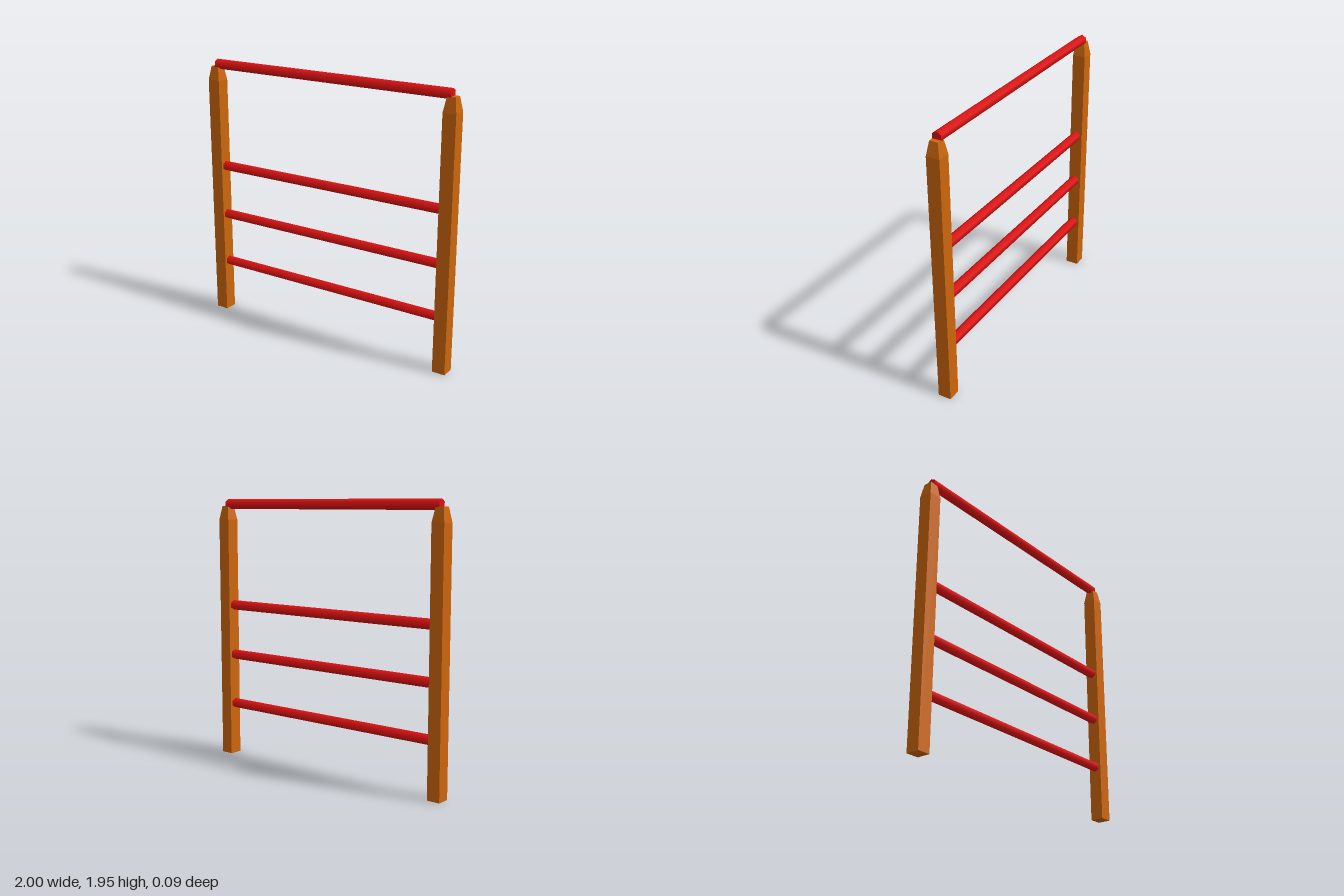
import * as THREE from 'three';

const POST_HEIGHT = 1.9, POST_WIDTH = 0.095, TAPER_START = 1.8, TIP_SCALE = 0.63;
const POST_X = 0.9525, BAR_RADIUS = 0.036;

// Square post whose top narrows to a blunt tip
function postGeometry() {
  const geo = new THREE.BoxGeometry(POST_WIDTH, POST_HEIGHT, POST_WIDTH, 1, 2, 1);
  geo.translate(0, POST_HEIGHT / 2, 0);
  const p = geo.attributes.position;
  for (let i = 0; i < p.count; i++) {
    const y = p.getY(i);
    if (y > POST_HEIGHT - 0.01) {
      p.setX(i, p.getX(i) * TIP_SCALE);
      p.setZ(i, p.getZ(i) * TIP_SCALE);
    } else if (y > 0.01) {
      p.setY(i, TAPER_START);
    }
  }
  geo.computeVertexNormals();
  return geo;
}

// Six-sided bar along x with an edge pointing up
function barGeometry() {
  const geo = new THREE.CylinderGeometry(BAR_RADIUS, BAR_RADIUS, 1.9, 6, 1, false, Math.PI / 6);
  return geo.rotateZ(Math.PI / 2);
}

export function createModel() {
  const model = new THREE.Group();
  model.name = 'ladderFence';
  const wood = new THREE.MeshStandardMaterial({ color: 0xcc660d, flatShading: true });
  const red = new THREE.MeshStandardMaterial({ color: 0xdd1111 });

  // Upright posts
  const post = postGeometry();
  for (const [name, side] of [['leftPost', 1], ['rightPost', -1]]) {
    const mesh = new THREE.Mesh(post, wood);
    mesh.name = name;
    mesh.position.x = side * POST_X;
    model.add(mesh);
  }

  // Three rungs between the posts and a rail resting on the tips
  const bar = barGeometry();
  const bars = { lowerRung: 0.395, middleRung: 0.775, upperRung: 1.155, topRail: 1.915 };
  for (const [name, y] of Object.entries(bars)) {
    const mesh = new THREE.Mesh(bar, red);
    mesh.name = name;
    mesh.position.y = y;
    model.add(mesh);
  }
  return model;
}
